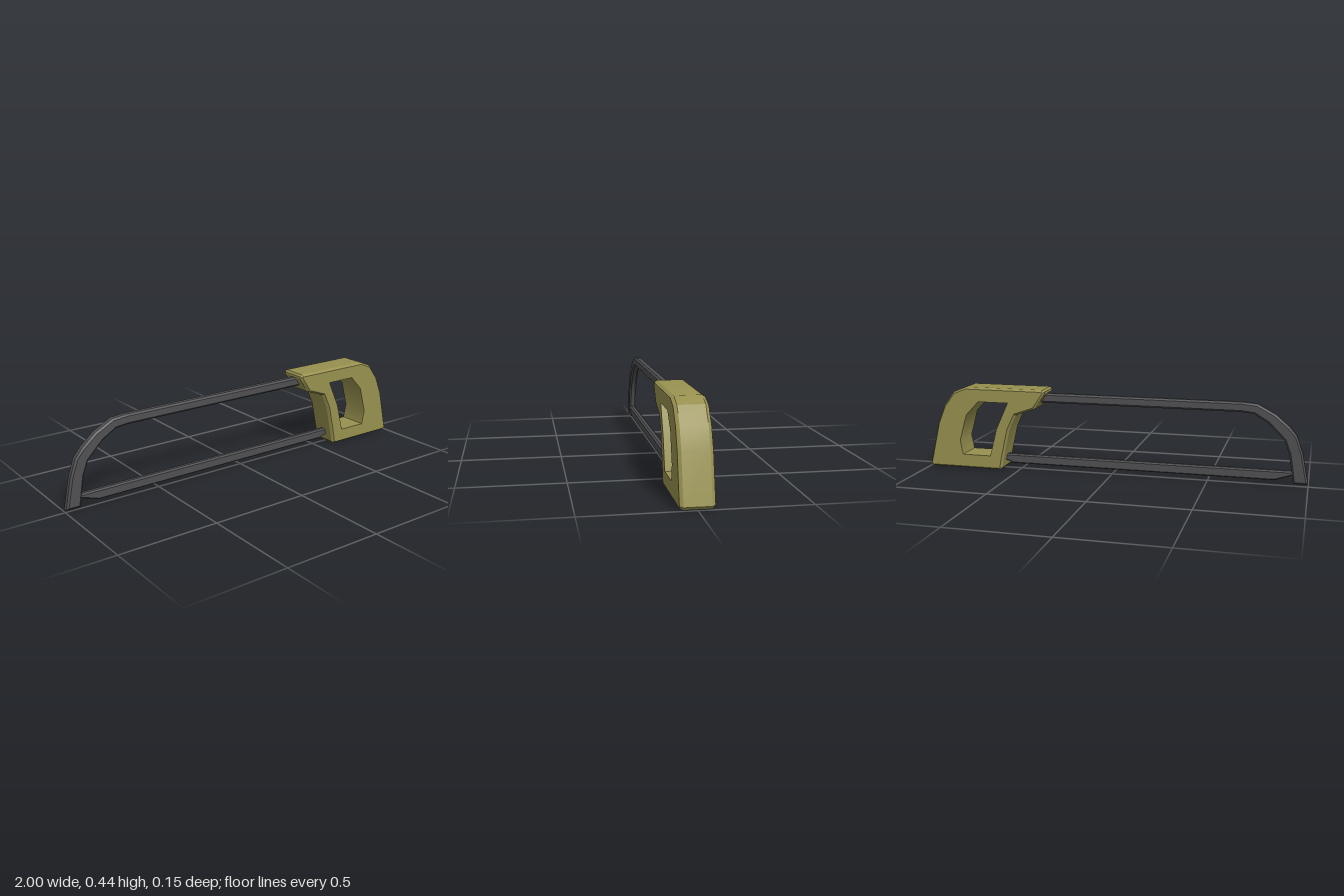
import * as THREE from 'three';
import { toCreasedNormals } from 'three/addons/utils/BufferGeometryUtils.js';

const olive = new THREE.MeshStandardMaterial({ color: 0x989150 });
olive.name = 'olive handle';
const steel = new THREE.MeshStandardMaterial({ color: 0x505053 });
steel.name = 'dark steel';

const toPoints = (list) => list.map(([x, y]) => new THREE.Vector2(x, y));

// Outline moved inwards by a fixed distance, with mitred corners
function insetOutline(points, distance) {
  const sign = THREE.ShapeUtils.area(points) > 0 ? 1 : -1;
  const n = points.length;
  const normal = (a, b) => {
    const d = b.clone().sub(a).normalize();
    return new THREE.Vector2(-d.y * sign, d.x * sign);
  };
  return points.map((p, i) => {
    const n1 = normal(points[(i + n - 1) % n], p);
    const n2 = normal(p, points[(i + 1) % n]);
    const miter = n1.clone().add(n2).multiplyScalar(distance / (1 + n1.dot(n2)));
    return p.clone().add(miter);
  });
}

// Plate centred on z = 0, chamfered on its outer rim; the hole keeps sharp edges
function chamferedPlate(name, material, outline, { half, chamfer, inset, hole }) {
  const points = toPoints(outline);
  const inner = insetOutline(points, inset);
  const shape = new THREE.Shape(points);
  if (hole) shape.holes.push(new THREE.Path(toPoints(hole)));
  const geometry = new THREE.ExtrudeGeometry(shape, { depth: 3, steps: 3, bevelEnabled: false });
  const levels = [-half, -half + chamfer, half - chamfer, half];
  const pos = geometry.attributes.position;
  for (let i = 0; i < pos.count; i++) {
    const level = Math.round(pos.getZ(i));
    if (level === 0 || level === 3) {
      const at = new THREE.Vector2(pos.getX(i), pos.getY(i));
      const k = points.findIndex((p) => p.distanceTo(at) < 1e-4);
      if (k >= 0) pos.setXY(i, inner[k].x, inner[k].y);
    }
    pos.setZ(i, levels[level]);
  }
  const mesh = new THREE.Mesh(toCreasedNormals(geometry, 0.52), material);
  mesh.name = name;
  return mesh;
}

export function createModel() {
  const saw = new THREE.Group();
  saw.name = 'hacksaw';

  // Closed grip with a finger opening
  saw.add(chamferedPlate('handle', olive, [
    [0.345, 0.43], [0.355, 0.44], [0.78, 0.44], [0.85, 0.412], [0.908, 0.335],
    [0.947, 0.24], [1.0, 0.015], [0.988, 0], [0.6, 0], [0.588, 0.012],
    [0.583, 0.045], [0.543, 0.22], [0.505, 0.3], [0.4, 0.338], [0.345, 0.42],
  ], {
    half: 0.076, chamfer: 0.015, inset: 0.01,
    hole: [
      [0.545, 0.365], [0.61, 0.225], [0.65, 0.075], [0.805, 0.075],
      [0.82, 0.15], [0.78, 0.29], [0.71, 0.365],
    ],
  }));

  // Bowed back bar, widening towards its lower end
  saw.add(chamferedPlate('frame', steel, [
    [0.42, 0.415], [-0.665, 0.415], [-0.74, 0.408], [-0.83, 0.36], [-0.9, 0.3],
    [-0.938, 0.255], [-0.968, 0.17], [-1.0, 0.015], [-0.927, 0.015],
    [-0.902, 0.165], [-0.875, 0.235], [-0.795, 0.315], [-0.725, 0.358],
    [-0.66, 0.365], [0.42, 0.365],
  ], { half: 0.02, chamfer: 0.009, inset: 0.009 }));

  // Blade with tapered ends
  saw.add(chamferedPlate('blade', steel, [
    [-0.94, 0.078], [-0.94, 0.06], [-0.92, 0.055], [-0.835, 0.027],
    [0.54, 0.027], [0.61, 0.05], [0.61, 0.078],
  ], { half: 0.018, chamfer: 0.01, inset: 0.007 }));

  return saw;
}
